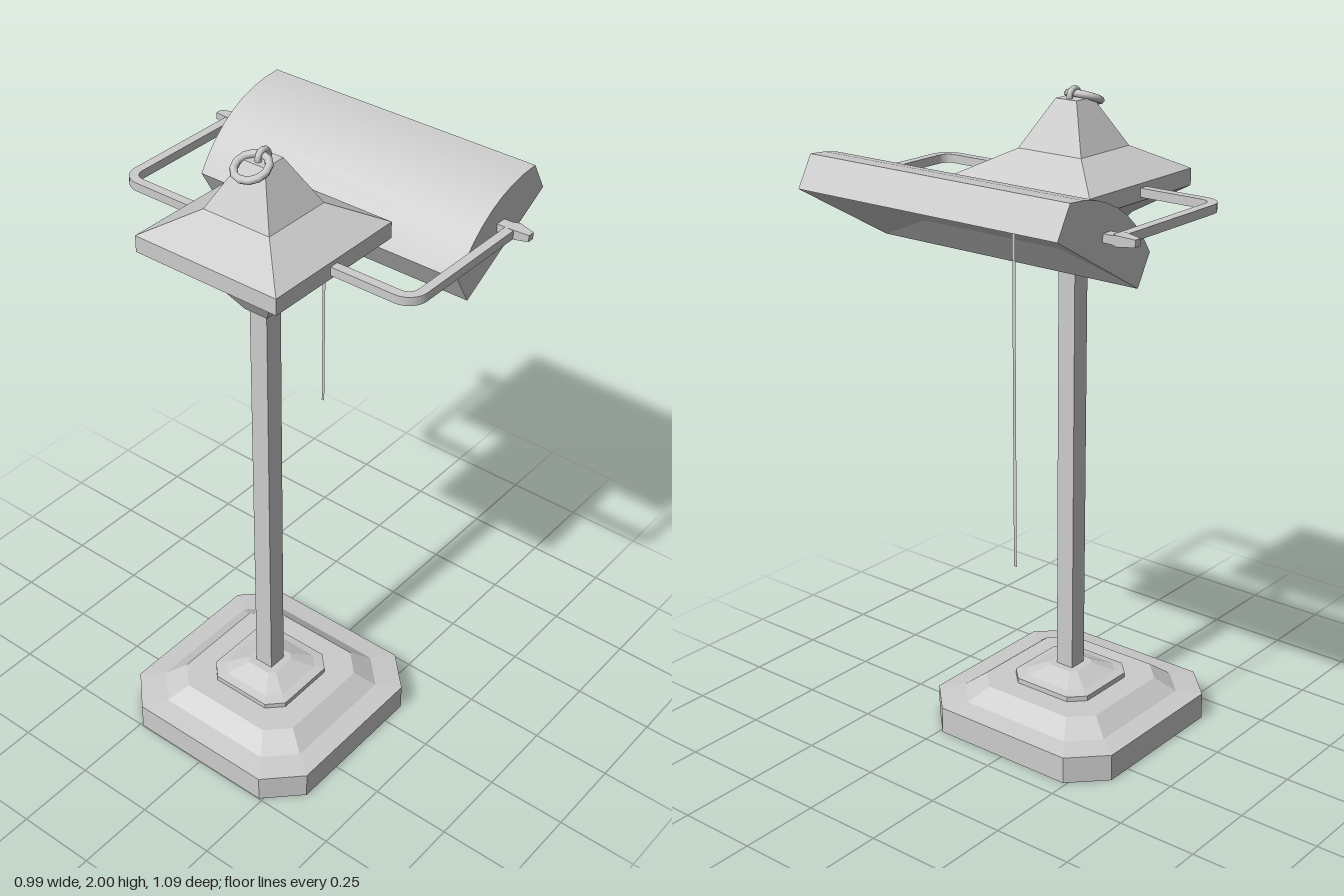
import * as THREE from 'three';
import { toCreasedNormals } from 'three/addons/utils/BufferGeometryUtils.js';

const flat = new THREE.MeshStandardMaterial({ color: 0xcccccc, flatShading: true });
const smooth = new THREE.MeshStandardMaterial({ color: 0xcccccc });
const twoSided = new THREE.MeshStandardMaterial({ color: 0xcccccc, side: THREE.DoubleSide });

// Skin a stack of equal-length rings of [x, y, z]
function loft(rings, { closed = true, capStart = true, capEnd = true } = {}) {
  const n = rings[0].length, idx = [];
  for (let r = 0; r < rings.length - 1; r++) {
    for (let i = 0; i < (closed ? n : n - 1); i++) {
      const j = (i + 1) % n, a = r * n + i, b = r * n + j;
      idx.push(a, b, b + n, a, b + n, a + n);
    }
  }
  const last = (rings.length - 1) * n;
  for (let i = 1; i < n - 1; i++) {
    if (capStart) idx.push(0, i + 1, i);
    if (capEnd) idx.push(last, last + i, last + i + 1);
  }
  const g = new THREE.BufferGeometry();
  g.setAttribute('position', new THREE.Float32BufferAttribute(rings.flat(2), 3));
  g.setIndex(idx);
  const out = g.toNonIndexed();
  out.computeVertexNormals();
  return out;
}

// Horizontal rectangle ring
const rect = (x0, x1, hz, y) => [[x1, y, hz], [x1, y, -hz], [x0, y, -hz], [x0, y, hz]];
const square = (h, y) => rect(-h, h, h, y);

// Horizontal square ring with cut corners
function octagon(h, y, c) {
  const k = h - c;
  return [[h, k], [h, -k], [k, -h], [-k, -h], [-h, -k], [-h, k], [-k, h], [k, h]].map(([x, z]) => [x, y, z]);
}

function add(parent, name, geometry, material = flat) {
  const m = new THREE.Mesh(geometry, material);
  m.name = name;
  parent.add(m);
  return m;
}

// Bracket arm with a rounded corner, plus its tapered pivot
function makeArm() {
  const g = new THREE.Group();
  const x0 = -0.021, x1 = 0.45, z0 = 0.2, z1 = 0.504, w = 0.028, R = 0.06;
  const s = new THREE.Shape();
  s.moveTo(x0, z0);
  s.lineTo(x0 + w, z0);
  s.lineTo(x0 + w, z1 - R);
  s.absarc(x0 + R, z1 - R, R - w, Math.PI, Math.PI / 2, true);
  s.lineTo(x1, z1 - w);
  s.lineTo(x1, z1);
  s.lineTo(x0 + R, z1);
  s.absarc(x0 + R, z1 - R, R, Math.PI / 2, Math.PI, false);
  s.closePath();
  const bar = new THREE.ExtrudeGeometry(s, { depth: 0.026, bevelEnabled: false, curveSegments: 4 });
  bar.rotateX(Math.PI / 2).translate(0, 0.013, 0);
  add(g, 'armBar', bar);

  const ring = (hx, hy, z) => [[-hx, -hy, z], [hx, -hy, z], [hx, hy, z], [-hx, hy, z]];
  const pivot = loft([ring(0.017, 0.012, 0.44), ring(0.017, 0.012, 0.475), ring(0.021, 0.015, 0.498), ring(0.011, 0.01, 0.547)]);
  add(g, 'pivot', pivot.translate(0.444, 0, 0));
  return g;
}

// Long shade: curved outer shell with a tapered recess underneath
function makeShade() {
  const g = new THREE.Group();
  const W = 0.394, L = 0.45, H = 0.103, rise = 0.055, steps = 8;
  const profile = [[W, 0]];
  for (let i = 0; i <= steps; i++) {
    const t = i / steps;
    profile.push([W * (1 - t), H + rise * (1 - (2 * t - 1) ** 2)]);
  }
  profile.push([0, 0]);
  const shell = loft([-L, L].map(z => profile.map(([x, y]) => [x, y, z])), { closed: false });
  add(g, 'shadeShell', toCreasedNormals(shell, 0.6), smooth);
  const recess = [rect(0, W, L, 0), rect(0.1, W - 0.1, 0.24, 0.042)].map(r => r.reverse());
  add(g, 'shadeRecess', loft(recess, { capStart: false }));
  return g;
}

export function createModel() {
  const model = new THREE.Group();
  model.name = 'lamp';

  // Everything on the post axis
  const stand = new THREE.Group();
  stand.name = 'stand';
  stand.position.x = -0.157;
  model.add(stand);

  // Stepped base
  add(stand, 'base', loft([octagon(0.342, 0, 0.103), octagon(0.342, 0.085, 0.103),
    octagon(0.275, 0.093, 0.085), octagon(0.217, 0.137, 0.065)]));
  add(stand, 'baseCollar', loft([octagon(0.142, 0.13, 0.045), octagon(0.142, 0.153, 0.045),
    octagon(0.115, 0.158, 0.036), octagon(0.055, 0.185, 0.017)]));

  add(stand, 'post', new THREE.BoxGeometry(0.06, 1.36, 0.06).translate(0, 0.84, 0));

  // Head: stacked square tapers
  add(stand, 'head', loft([square(0.04, 1.508), square(0.12, 1.632), square(0.24, 1.706),
    square(0.24, 1.756), square(0.112, 1.826), square(0.037, 1.965)]));

  // Loop and hanging ring on top
  add(stand, 'topLoop', new THREE.TorusGeometry(0.021, 0.009, 8, 12).translate(0, 1.97, 0), smooth);
  const ring = add(stand, 'topRing', new THREE.TorusGeometry(0.048, 0.011, 8, 12).rotateX(Math.PI / 2), smooth);
  ring.position.set(-0.047, 1.961, 0);
  ring.rotation.z = 0.36;

  // Bracket arms on both sides
  for (const side of [0, 1]) {
    const arm = makeArm();
    arm.name = side ? 'backArm' : 'frontArm';
    arm.position.y = 1.73;
    arm.rotation.x = side * Math.PI;
    stand.add(arm);
  }

  // Tilted shade
  const shade = makeShade();
  shade.name = 'shade';
  shade.position.set(0.148, 1.561, 0);
  shade.rotation.z = 0.52;
  model.add(shade);

  // Flat pull cord
  const cord = add(model, 'pullCord', new THREE.PlaneGeometry(0.01, 0.97).rotateY(Math.PI / 2), twoSided);
  cord.position.set(0.385, 1.265, -0.225);

  return model;
}
